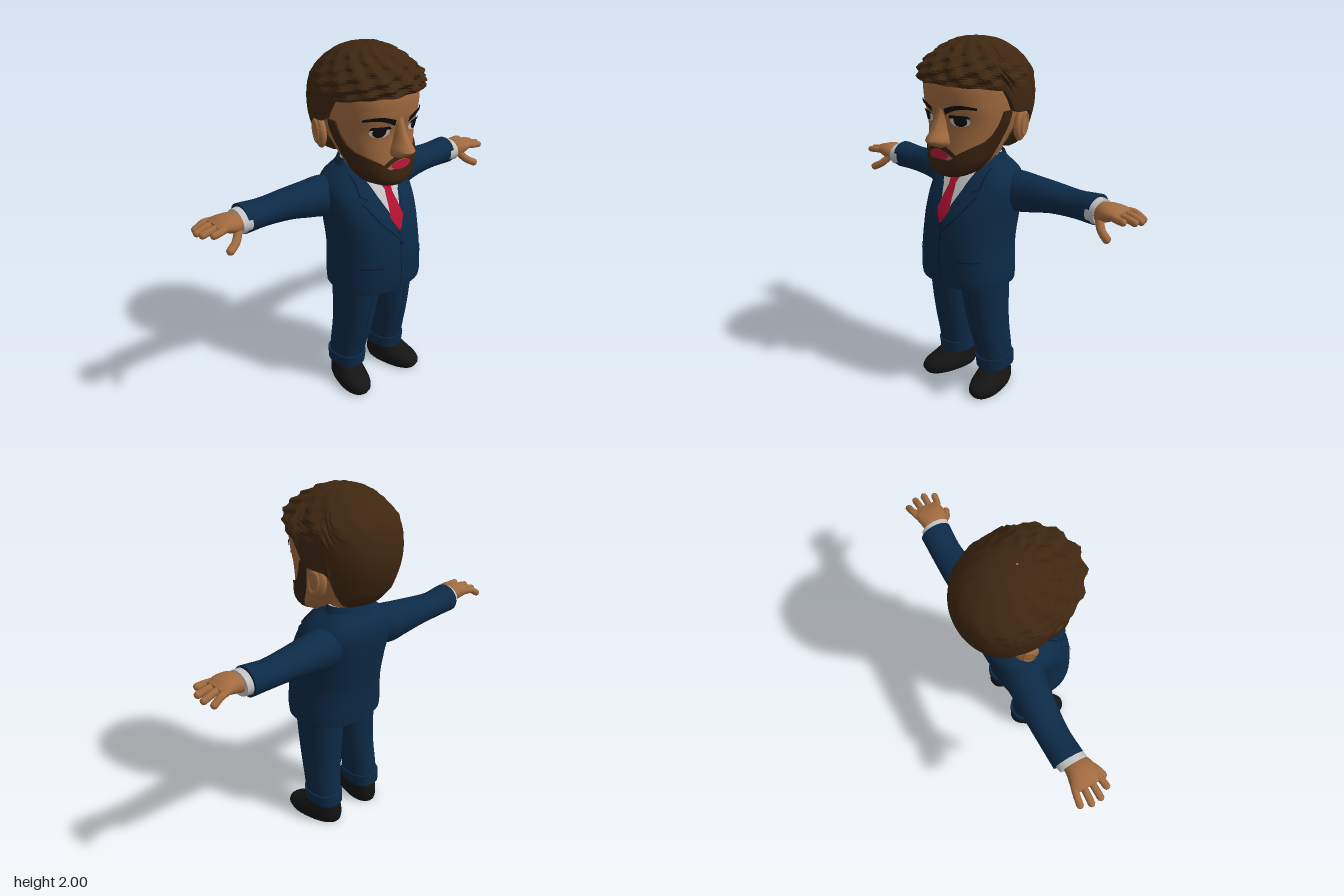
import * as THREE from 'three';
import { mergeVertices, toCreasedNormals } from 'three/addons/utils/BufferGeometryUtils.js';

const material = (name, color) => new THREE.MeshStandardMaterial({ name, color, side: THREE.DoubleSide });
const M = {
  suit: material('navySuit', 0x0c2a47), seam: material('darkNavySeam', 0x071a2e),
  skin: material('skin', 0xa26b40), hair: material('brownHair', 0x3f2711),
  beard: material('beardBrown', 0x3a230f), shoe: material('blackShoe', 0x141415),
  shirt: material('shirtGrey', 0xc4c4c6), tie: material('redTie', 0xb01230),
  lips: material('rosyLips', 0xb5183c), black: material('eyeBlack', 0x0c0c10),
};
const RAD = Math.PI / 180;

// Rectangular grid of points fn(u, v), creased where the surface folds
function grid(nu, nv, fn, crease = 0.8) {
  const pos = [], idx = [];
  for (let j = 0; j <= nv; j++) for (let i = 0; i <= nu; i++) pos.push(...fn(i / nu, j / nv, j));
  for (let j = 0; j < nv; j++) for (let i = 0; i < nu; i++) {
    const a = j * (nu + 1) + i, d = a + nu + 1;
    idx.push(a, a + 1, d, a + 1, d + 1, d);
  }
  const g = new THREE.BufferGeometry();
  g.setAttribute('position', new THREE.Float32BufferAttribute(pos, 3));
  g.setIndex(idx);
  return toCreasedNormals(mergeVertices(g, 1e-5), crease);
}

// Body of stacked cross-sections [y, centreX, halfWidth, frontZ, backZ]; n sets squareness
function body(rings, n = 2) {
  const y0 = rings[0][0], y1 = rings[rings.length - 1][0];
  const at = (y) => {
    let i = 0;
    while (i < rings.length - 2 && y > rings[i + 1][0]) i++;
    const b = rings[i], c = rings[i + 1], a = rings[i - 1] || b, d = rings[i + 2] || c;
    const t = THREE.MathUtils.clamp((y - b[0]) / (c[0] - b[0]), 0, 1);
    return b.map((_, k) => 0.5 * (2 * b[k] + (c[k] - a[k]) * t + (2 * a[k] - 5 * b[k] + 4 * c[k] - d[k]) * t * t
      + (3 * b[k] - a[k] - 3 * c[k] + d[k]) * t * t * t));
  };
  const point = (th, y, off = 0, scale = 1) => {
    const [, cx, rx, zf, zb] = at(y), cz = (zf + zb) / 2, p = 2 / n;
    const s = Math.sin(th), c = Math.cos(th);
    return [cx + Math.sign(s) * Math.abs(s) ** p * (rx + off) * scale, y,
      cz + Math.sign(c) * Math.abs(c) ** p * ((zf - zb) / 2 + off) * scale];
  };
  const front = (x, y) => {
    const [, cx, rx, zf, zb] = at(y), q = Math.min(1, Math.abs((x - cx) / rx));
    return (zf + zb) / 2 + (zf - zb) / 2 * (1 - q ** n) ** (1 / n);
  };
  const solid = (nu = 32, nv = 24) => grid(nu, nv + 2, (u, v, j) => point(u * 2 * Math.PI,
    y0 + (y1 - y0) * THREE.MathUtils.clamp((j - 1) / nv, 0, 1), 0, j === 0 || j === nv + 2 ? 0 : 1));
  return { point, front, solid };
}

// Thin panel laid on the front of a body; rows are [y, xFrom, xTo]
function panel(surface, rows, off) {
  const nv = (rows.length - 1) * 4;
  return grid(10, nv, (u, v) => {
    const f = v * (rows.length - 1), i = Math.min(rows.length - 2, Math.floor(f)), t = f - i;
    const [y, a, b] = rows[i].map((k, m) => k + (rows[i + 1][m] - k) * t), x = a + (b - a) * u;
    return [x, y, surface.front(x, y) + off];
  });
}
const oval = (x, y, rx, ry) => Array.from({ length: 7 }, (_, i) => {
  const a = -Math.PI / 2 + i * Math.PI / 6;
  return [y + ry * Math.sin(a), x - rx * Math.cos(a), x + rx * Math.cos(a)];
});
// Piecewise-linear lookup in [angle, value] pairs
const curve = (pts, a) => {
  for (let i = 1; i < pts.length; i++) if (a <= pts[i][0]) {
    const [p, q] = [pts[i - 1], pts[i]];
    return p[1] + (q[1] - p[1]) * (a - p[0]) / (q[0] - p[0]);
  }
  return pts[pts.length - 1][1];
};

export function createModel() {
  const model = new THREE.Group();
  model.name = 'figure';
  const add = (name, geo, mat, parent = model) => {
    const m = new THREE.Mesh(geo, mat);
    m.name = name;
    parent.add(m);
    return m;
  };

  // Jacket, with shirt, tie and lapels laid on its front
  const torso = body([[0.68, 0, 0.262, 0.232, -0.205], [0.73, 0, 0.264, 0.24, -0.21], [0.9, 0, 0.25, 0.24, -0.222],
    [1.05, 0, 0.253, 0.213, -0.248], [1.15, 0, 0.262, 0.17, -0.265], [1.24, 0, 0.258, 0.115, -0.268],
    [1.3, 0, 0.218, 0.07, -0.25], [1.35, 0, 0.155, 0.015, -0.21], [1.375, 0, 0.12, -0.01, -0.185]], 2.5);
  add('jacket', torso.solid(40, 30), M.suit);
  add('shirtFront', panel(torso, [[1.05, 0, 0], [1.25, -0.085, 0.085], [1.35, -0.12, 0.12]], 0.006), M.shirt);
  add('tie', panel(torso, [[1.04, -0.006, 0.006], [1.11, -0.045, 0.045], [1.24, -0.022, 0.022]], 0.016), M.tie);
  add('tieKnot', panel(torso, [[1.235, -0.02, 0.02], [1.29, -0.036, 0.036], [1.305, -0.03, 0.03]], 0.022), M.tie);
  add('frontSeam', panel(torso, [[0.69, 0.002, 0.008], [1.04, -0.004, 0.004]], 0.004), M.seam);
  add('button', panel(torso, oval(0.008, 0.96, 0.012, 0.012), 0.007), M.seam);
  add('jacketCollar', grid(20, 4, (u, v) => {
    const th = (75 + 210 * u) * RAD;
    return [Math.sin(th) * (0.165 - 0.03 * v), 1.325 + 0.065 * v, -0.1 + Math.cos(th) * (0.125 - 0.025 * v)];
  }), M.suit);
  add('shirtCollar', body([[1.31, 0, 0.13, 0.03, -0.2], [1.38, 0, 0.12, 0.005, -0.19]]).solid(28, 2), M.shirt);
  add('neck', body([[1.28, 0, 0.11, 0, -0.18], [1.38, 0, 0.11, 0, -0.19], [1.48, 0, 0.14, 0.02, -0.23]]).solid(28, 6), M.skin);

  // Head
  const head = body([[1.295, 0, 0.07, 0.19, 0.02], [1.32, 0, 0.125, 0.217, -0.03], [1.38, 0, 0.172, 0.217, -0.1],
    [1.46, 0, 0.197, 0.21, -0.18], [1.58, 0, 0.23, 0.203, -0.26], [1.68, 0, 0.242, 0.228, -0.3],
    [1.8, 0, 0.24, 0.225, -0.3], [1.9, 0, 0.18, 0.15, -0.22]], 2.3);
  add('head', head.solid(44, 30), M.skin);
  add('nose', body([[1.45, 0, 0.03, 0.225, 0.15], [1.47, 0, 0.055, 0.275, 0.15], [1.495, 0, 0.058, 0.308, 0.15],
    [1.54, 0, 0.04, 0.28, 0.15], [1.6, 0, 0.028, 0.248, 0.15], [1.67, 0, 0.03, 0.225, 0.15]]).solid(24, 14), M.skin);
  const beardTop = [[0, 1.392], [18, 1.392], [30, 1.43], [50, 1.465], [68, 1.49], [78, 1.53], [84, 1.64], [95, 1.64]];
  add('beard', grid(44, 13, (u, v, j) => {
    const th = (u * 2 - 1) * 93 * RAD, top = curve(beardTop, Math.abs(th) / RAD);
    const t = THREE.MathUtils.clamp((j - 1) / 11, 0, 1);
    return head.point(th, 1.295 + (top - 1.295) * t, j === 13 ? -0.01 : 0.012, j === 0 ? 0 : 1);
  }), M.beard);
  add('lips', panel(head, oval(0, 1.418, 0.066, 0.024), 0.018), M.lips);

  // Hair cap: hairline height by angle from the front, edge tucked in, curls on top
  const hair = body([[1.385, 0, 0.11, 0, -0.2], [1.41, 0, 0.17, 0.05, -0.265], [1.48, 0, 0.225, 0.12, -0.325],
    [1.6, 0, 0.265, 0.2, -0.368], [1.7, 0, 0.278, 0.235, -0.38], [1.8, 0, 0.277, 0.262, -0.364], [1.85, 0, 0.257, 0.262, -0.342],
    [1.91, 0, 0.205, 0.195, -0.285], [1.96, 0, 0.145, 0.105, -0.21], [1.985, 0, 0.085, 0.04, -0.14], [1.995, 0, 0.005, -0.04, -0.05]], 2.1);
  const hairline = [[0, 1.785], [50, 1.77], [76, 1.75], [86, 1.63], [114, 1.62], [122, 1.45], [135, 1.4], [180, 1.387]];
  add('hair', grid(72, 29, (u, v, j) => {
    const th = (u * 2 - 1) * Math.PI, low = curve(hairline, Math.abs(th) / RAD);
    const t = Math.max(0, (j - 1) / 28), y = low + (1.995 - low) * (1 - (1 - t) ** 1.35);
    const curl = THREE.MathUtils.smoothstep(y, 1.72, 1.82) * (0.55 + 0.45 * Math.cos(th)) * (1 - t ** 6);
    const bump = 0.012 * curl * (Math.sin(th * 14 + y * 45) + Math.sin(y * 120 - th * 9));
    return hair.point(th, y, bump - (j === 0 ? 0.06 : 0));
  }, 0.5), M.hair);

  // Paired parts, built on the +x side and mirrored
  for (const side of ['left', 'right']) {
    const half = new THREE.Group();
    half.name = side + 'Side';
    half.scale.x = side === 'left' ? 1 : -1;
    model.add(half);
    const put = (name, geo, mat) => add(side + name, geo, mat, half);
    const along = (rings, n, nu, nv) => body(rings, n).solid(nu, nv).rotateZ(-Math.PI / 2);

    // Eye, brow, moustache half and ear
    put('EyeWhite', panel(head, oval(0.112, 1.6, 0.05, 0.03), 0.005), M.shirt);
    put('Iris', panel(head, oval(0.118, 1.602, 0.033, 0.03), 0.009), M.black);
    put('Lashes', panel(head, [[1.615, 0.06, 0.168], [1.632, 0.075, 0.158]], 0.012), M.black);
    put('Eyebrow', grid(10, 3, (u, v) => {
      const x = 0.045 + 0.15 * u, y = 1.645 + 0.03 * Math.sin(u * 2.4) + (v - 0.5) * 0.032 * (1 - u * 0.6);
      return [x, y, head.front(x, y) + 0.012];
    }), M.black);
    put('Moustache', grid(10, 3, (u, v) => {
      const x = 0.105 * u, y = 1.458 - 0.05 * u * u + (v - 0.5) * 0.028;
      return [x, y, head.front(x, y) + 0.016];
    }), M.beard);
    const ear = put('Ear', new THREE.SphereGeometry(1, 18, 12).scale(0.03, 0.088, 0.058), M.skin);
    ear.position.set(0.245, 1.555, -0.128);
    ear.rotation.set(-0.15, 0.25, 0);
    const hollow = put('EarHollow', new THREE.TorusGeometry(0.036, 0.009, 6, 18).scale(0.8, 1.5, 1), M.skin);
    hollow.position.set(0.268, 1.56, -0.13);
    hollow.rotation.set(-0.15, Math.PI / 2 + 0.2, 0);

    // Lapel, shirt collar point and pocket
    const lapel = [[1.0, 0.002, 0.012], [1.09, 0.03, 0.1], [1.2, 0.072, 0.165], [1.215, 0.076, 0.13], [1.235, 0.08, 0.165], [1.33, 0.112, 0.155]];
    put('LapelEdge', panel(torso, lapel.map(([y, a, b]) => [y - 0.004, a, b + 0.006]), 0.007), M.seam);
    put('Lapel', panel(torso, lapel, 0.012), M.suit);
    put('CollarPoint', panel(torso, [[1.235, 0.062, 0.07], [1.29, 0.032, 0.1], [1.35, 0.03, 0.115]], 0.018), M.shirt);
    put('Pocket', panel(torso, [[0.842, 0.12, 0.225], [0.85, 0.12, 0.225]], 0.007), M.seam);

    // Sleeve, cuff and hand
    put('Sleeve', along([[0.14, -1.19, 0.1, -0.04, -0.23], [0.24, -1.185, 0.112, -0.03, -0.25], [0.32, -1.187, 0.103, -0.045, -0.248],
      [0.45, -1.193, 0.084, -0.065, -0.252], [0.6, -1.192, 0.073, -0.08, -0.25], [0.735, -1.197, 0.08, -0.075, -0.248]], 2, 24, 20), M.suit);
    put('ShirtCuff', along([[0.71, -1.195, 0.07, -0.075, -0.238], [0.768, -1.195, 0.066, -0.07, -0.228]], 2, 24, 2), M.shirt);
    put('Palm', along([[0.74, -1.195, 0.048, -0.085, -0.205], [0.8, -1.207, 0.05, -0.06, -0.21],
      [0.86, -1.215, 0.036, -0.06, -0.222], [0.9, -1.21, 0.024, -0.075, -0.215]], 2.2, 20, 10), M.skin);
    const digit = (name, pts, r) => {
      const path = new THREE.CatmullRomCurve3(pts.map((p) => new THREE.Vector3(...p)));
      put(name, new THREE.TubeGeometry(path, 10, r, 10), M.skin);
      const tip = put(name + 'Tip', new THREE.SphereGeometry(r, 10, 8), M.skin);
      tip.position.set(...pts[pts.length - 1]);
    };
    [0.955, 0.975, 0.972, 0.94].forEach((x, i) => {
      const z = -0.205 + i * 0.041, spread = (i - 1.5) * 0.008;
      digit('Finger' + (i + 1), [[0.86, 1.215, z], [(0.86 + x) / 2, 1.212, z + spread], [x, 1.185 + 0.008 * i, z + spread * 1.5]], 0.019);
    });
    digit('Thumb', [[0.79, 1.185, -0.09], [0.83, 1.14, -0.055], [0.875, 1.115, -0.035]], 0.022);

    // Trouser leg with turn-up and crease, and shoe
    const leg = body([[0.12, 0.15, 0.085, 0.05, -0.16], [0.22, 0.148, 0.09, 0.065, -0.15], [0.4, 0.134, 0.1, 0.108, -0.135],
      [0.58, 0.124, 0.112, 0.138, -0.135], [0.74, 0.12, 0.12, 0.15, -0.14]], 2.4);
    put('TrouserLeg', leg.solid(28, 14), M.suit);
    put('TurnUp', body([[0.125, 0.15, 0.092, 0.06, -0.168], [0.195, 0.15, 0.096, 0.068, -0.165]], 2.4).solid(28, 3), M.suit);
    put('Crease', panel(leg, [[0.2, 0.147, 0.151], [0.68, 0.12, 0.124]], 0.004), M.seam);
    const shoe = put('Shoe', body([[0, 0, 0.08, 0.17, -0.165], [0.025, 0, 0.088, 0.185, -0.172], [0.06, 0, 0.086, 0.17, -0.172],
      [0.095, 0, 0.078, 0.1, -0.168], [0.14, 0, 0.07, 0.03, -0.16]], 2.3).solid(30, 12), M.shoe);
    shoe.position.x = 0.168;
    shoe.rotation.y = 0.22;
  }
  return model;
}
